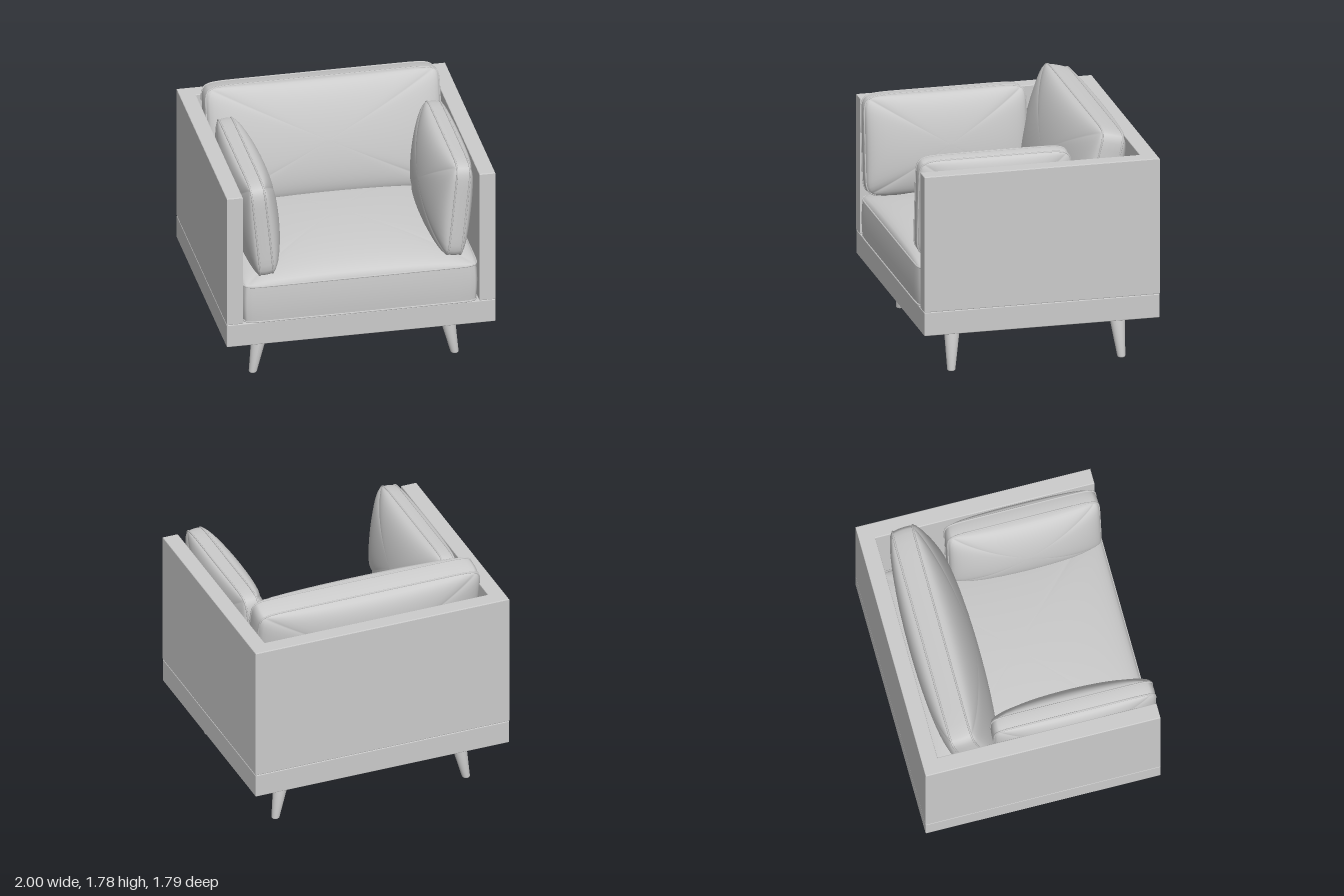
import * as THREE from 'three';
import { mergeGeometries } from 'three/addons/utils/BufferGeometryUtils.js';
import { RoundedBoxGeometry } from 'three/addons/geometries/RoundedBoxGeometry.js';

const material = new THREE.MeshStandardMaterial({ color: 0xcccccc });

function addMesh(parent, name, geometry, x = 0, y = 0, z = 0) {
  const mesh = new THREE.Mesh(geometry, material);
  mesh.name = name;
  mesh.position.set(x, y, z);
  parent.add(mesh);
  return mesh;
}

// Skin joining a list of closed loops, ordered from back to front
function skin(loops) {
  const n = loops[0].length;
  const index = [];
  for (let i = 0; i < loops.length - 1; i++) {
    for (let j = 0; j < n; j++) {
      const k = (j + 1) % n;
      const a = i * n + j, b = i * n + k, c = a + n, d = b + n;
      index.push(a, b, c, b, d, c);
    }
  }
  const geometry = new THREE.BufferGeometry().setFromPoints(loops.flat());
  geometry.setIndex(index);
  geometry.computeVertexNormals();
  return geometry;
}

// Boxed cushion lying in the XY plane: two domed faces, a side band and piping.
// w, h, t are half sizes; front and back are the dome heights; n squares the corners.
function cushion(name, { w, h, t, front, back, n = 10 }) {
  const steps = 16, rings = 14;
  const outline = [];
  const dirs = [[1, -1, 0, 1], [1, 1, -1, 0], [-1, 1, 0, -1], [-1, -1, 1, 0]];
  for (const [sx, sy, dx, dy] of dirs) {
    for (let i = 0; i < steps; i++) {
      // Cosine spacing gathers points at the corners
      const f = 1 - Math.cos((i / steps) * Math.PI);
      const a = sx + dx * f, b = sy + dy * f;
      const k = (Math.abs(a) ** n + Math.abs(b) ** n) ** (-1 / n);
      outline.push({ a, b, x: a * k * w, y: b * k * h });
    }
  }
  const loop = (s, z) => outline.map((p) => new THREE.Vector3(p.x * s, p.y * s, z(p)));
  const dome = (side, height) => {
    const loops = [];
    for (let i = 0; i <= rings; i++) {
      const s = Math.sin((i / rings) * Math.PI / 2);
      const rise = (p) => (Math.max(0, 1 - (s * p.a) ** 2) * Math.max(0, 1 - (s * p.b) ** 2)) ** 0.4;
      loops.push(loop(s, (p) => side * (t + height * rise(p))));
    }
    return skin(side < 0 ? loops : loops.reverse());
  };
  const band = [];
  for (let i = 0; i <= 6; i++) {
    const u = (i / 6) * 2 - 1;
    band.push(loop(1 + 0.008 * (1 - u * u), () => u * t));
  }

  const group = new THREE.Group();
  group.name = name;
  addMesh(group, 'cushionCover', mergeGeometries([dome(-1, back), skin(band), dome(1, front)]));
  for (const side of [-1, 1]) {
    const path = new THREE.CatmullRomCurve3(loop(1, () => side * t), true);
    addMesh(group, side > 0 ? 'frontPiping' : 'backPiping', new THREE.TubeGeometry(path, 200, 0.007, 6, true));
  }
  return group;
}

export function createModel() {
  const model = new THREE.Group();
  model.name = 'armchair';

  // Plinth under the whole seat
  addMesh(model, 'base', new RoundedBoxGeometry(2, 0.18, 1.77, 2, 0.006), 0, 0.45, -0.015);

  // U-shaped shell: arms and back in one piece
  const bevel = 0.006;
  const plan = new THREE.Shape([
    [-1, -0.87], [-0.88, -0.87], [-0.88, 0.78], [0.88, 0.78],
    [0.88, -0.87], [1, -0.87], [1, 0.9], [-1, 0.9],
  ].map(([x, y]) => new THREE.Vector2(x, y)));
  const shell = new THREE.ExtrudeGeometry(plan, {
    depth: 1.04 - 2 * bevel, bevelEnabled: true, bevelThickness: bevel,
    bevelSize: bevel, bevelOffset: -bevel, bevelSegments: 2,
  });
  shell.rotateX(-Math.PI / 2);
  addMesh(model, 'armAndBackShell', shell, 0, 0.54 + bevel, 0);

  // Splayed tapered legs: a round profile sheared outwards towards the floor
  for (const side of [1, -1]) {
    for (const end of [1, -1]) {
      const profile = [[0, 0], [0.024, 0], [0.03, 0.008], [0.065, 0.37], [0, 0.37]];
      const leg = new THREE.LatheGeometry(profile.map(([r, y]) => new THREE.Vector2(r, y)), 24);
      const p = leg.attributes.position;
      for (let i = 0; i < p.count; i++) {
        const f = p.getY(i) / 0.37;
        p.setX(i, p.getX(i) - side * 0.068 * f);
        p.setZ(i, p.getZ(i) - end * 0.023 * f);
      }
      leg.computeVertexNormals();
      addMesh(model, `${end > 0 ? 'front' : 'back'}${side > 0 ? 'Left' : 'Right'}Leg`, leg,
        side * 0.752, 0, end > 0 ? 0.605 : -0.674);
    }
  }

  // Seat cushion, domed on top only
  const seat = cushion('seatCushion', { w: 0.873, h: 0.825, t: 0.143, front: 0.14, back: 0, n: 26 });
  seat.rotation.x = -Math.PI / 2;
  seat.position.set(0, 0.69, 0.05);
  model.add(seat);

  // Back cushion, leaning against the back
  const backrest = cushion('backCushion', { w: 0.868, h: 0.445, t: 0.077, front: 0.15, back: 0.16, n: 16 });
  backrest.rotation.x = -0.24;
  backrest.position.set(0, 1.318, -0.488);
  model.add(backrest);

  // Loose cushions against the arms, leaning slightly outwards
  for (const [name, side, z, half] of [['leftArmCushion', 1, 0.29, 0.57], ['rightArmCushion', -1, 0.275, 0.607]]) {
    const pad = cushion(name, { w: half, h: 0.375, t: 0.048, front: 0.145, back: 0.095, n: 11 });
    pad.rotation.order = 'ZYX';
    pad.rotation.set(0, -side * Math.PI / 2, -side * 0.1);
    pad.position.set(side * 0.735, 1.27, z);
    model.add(pad);
  }

  return model;
}
